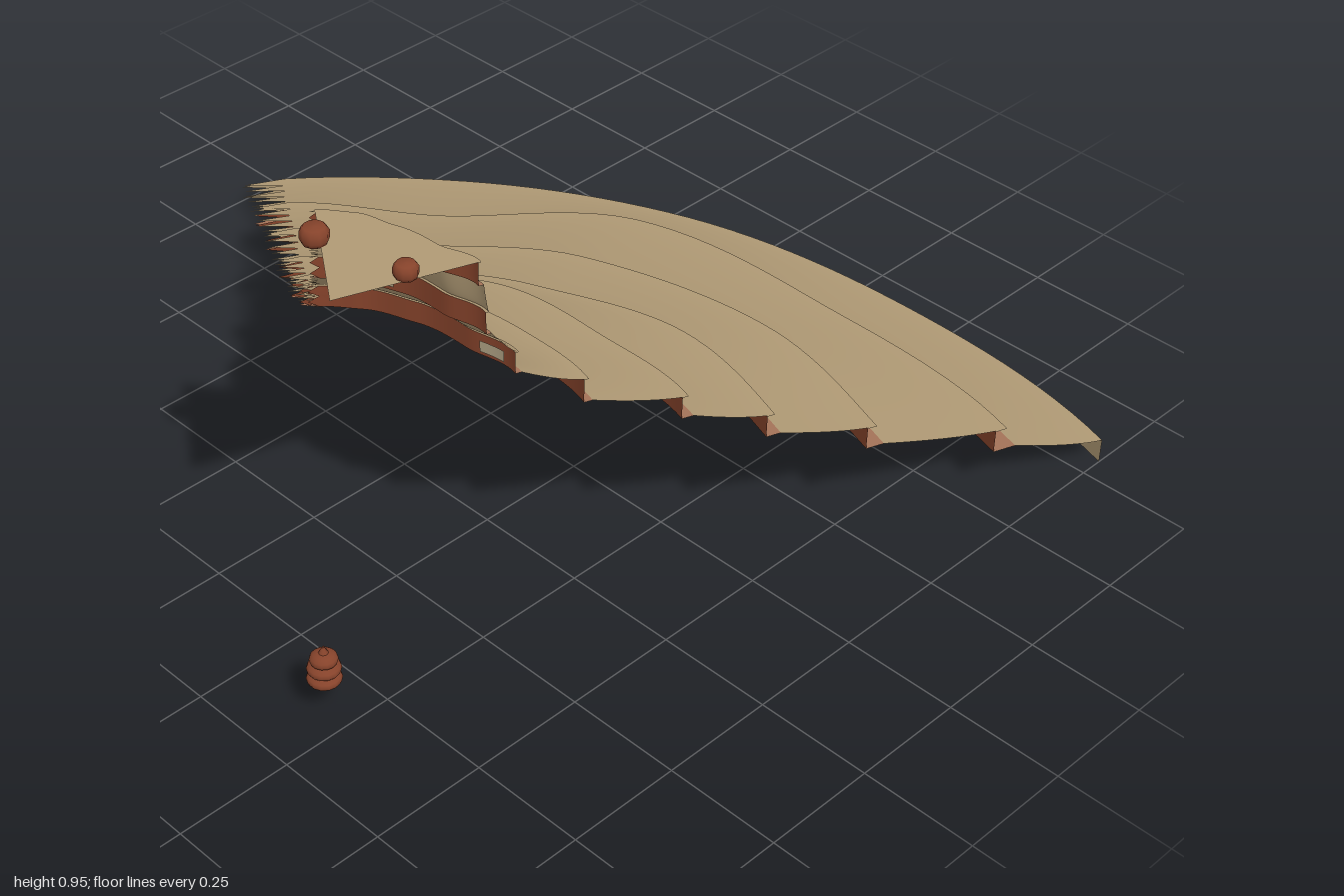
import * as THREE from 'three';

const mat = (name, color) => {
  const m = new THREE.MeshStandardMaterial({ color, side: THREE.DoubleSide });
  m.name = name;
  return m;
};

// Apex of the wedge and its angular limits (degrees from the back, + toward +x)
const AX = 0.435, AZ = 0.80, RIGHT = 19.4, LEFT = -53.3, TOOTH = 3.4;
const KNOTS = [19.4, 0, -22, -40, -55];

// Outer radius of each tier at the knot angles, with its wall's bottom and top height
const TIERS = [
  { r: [1.70, 1.68, 1.70, 1.70, 1.71], y0: 0, y1: 0.057 },
  { r: [1.48, 1.455, 1.515, 1.41, 1.47], y0: 0.115, y1: 0.167 },
  { r: [1.16, 1.19, 1.18, 1.13, 1.20], y0: 0.225, y1: 0.275 },
  { r: [0.92, 0.94, 0.90, 0.88, 0.935], y0: 0.33, y1: 0.38 },
  { r: [0.725, 0.705, 0.735, 0.71, 0.71], y0: 0.435, y1: 0.485 },
  { r: [0.51, 0.50, 0.51, 0.52, 0.53], y0: 0.54, y1: 0.592 },
  { r: [0.365, 0.335, 0.345, 0.36, 0.37], y0: 0.65, y1: 0.697 },
  { r: [0.305, 0.275, 0.285, 0.295, 0.31], y0: 0.755, y1: 0.803 },
  { r: [0.29, 0.255, 0.26, 0.28, 0.29], y0: 0.865, y1: 0.915 },
];

// Smoothly interpolated tier radius at an angle
function radius(tier, deg) {
  let k = 0;
  while (k < KNOTS.length - 2 && deg < KNOTS[k + 1]) k++;
  const t = THREE.MathUtils.clamp((KNOTS[k] - deg) / (KNOTS[k] - KNOTS[k + 1]), 0, 1);
  return THREE.MathUtils.lerp(tier.r[k], tier.r[k + 1], t * t * (3 - 2 * t));
}

// Sector surface; at(t, deg) returns [radius, height]; jagged gives the torn left edge
function strip(name, material, rows, at, from = LEFT, to = RIGHT, jagged = true, cols = 40) {
  const pos = [], idx = [];
  for (let i = 0; i <= rows; i++) {
    for (let j = 0; j <= cols; j++) {
      let deg = from + (to - from) * (j / cols);
      if (jagged && j === 0 && i % 2) deg -= TOOTH;
      const [r, y] = at(i / rows, deg);
      const a = THREE.MathUtils.degToRad(deg);
      pos.push(AX + r * Math.sin(a), y, AZ - r * Math.cos(a));
      if (i < rows && j < cols) {
        const p = i * (cols + 1) + j, q = p + cols + 1;
        idx.push(p, q, p + 1, p + 1, q, q + 1);
      }
    }
  }
  const g = new THREE.BufferGeometry();
  g.setAttribute('position', new THREE.Float32BufferAttribute(pos, 3));
  g.setIndex(idx);
  g.computeVertexNormals();
  const mesh = new THREE.Mesh(g, material);
  mesh.name = name;
  return mesh;
}

export function createModel() {
  const group = new THREE.Group();
  group.name = 'terracedHillWedge';
  const sand = mat('sand', 0xb09a75);
  const brick = mat('brick', 0x86432b);
  const clay = mat('clay ledge', 0xa37258);
  const dark = mat('dark brick', 0x4f2f20);
  const pale = mat('pale stone', 0xb0a284);

  const WALL = 0.965, LIP = 0.983;
  TIERS.forEach((tier, n) => {
    const wall = n ? WALL : 1;
    const height = (t) => THREE.MathUtils.lerp(tier.y0, tier.y1, t);
    group.add(strip(n ? 'terraceWall' : 'baseWall', n ? brick : sand, 4,
      (t, d) => [radius(tier, d) * wall, height(t)]));
    if (n) {
      // Flat ledge at the wall's foot and overhanging lip at its top
      group.add(strip('terraceLedge', clay, 2,
        (t, d) => [radius(tier, d) * THREE.MathUtils.lerp(1, WALL, t), tier.y0]));
      group.add(strip('terraceLip', sand, 1,
        (t, d) => [radius(tier, d) * THREE.MathUtils.lerp(LIP, WALL, t), tier.y1]));
    }
    // Concave slope up to the next tier, or the flat summit
    const next = TIERS[n + 1];
    if (next) {
      group.add(strip('slope', sand, 14, (t, d) => [
        THREE.MathUtils.lerp(radius(tier, d) * (n ? LIP : 1), radius(next, d), t),
        THREE.MathUtils.lerp(tier.y1, next.y0, Math.pow(t, 1.35)),
      ]));
    } else {
      group.add(strip('summit', sand, 6, (t, d) => [radius(tier, d) * LIP * (1 - t), tier.y1 + 0.001],
        LEFT - 1, RIGHT, false));
    }
  });

  // Thin plate on a terrace wall: tier, centre angle, width, heights, radial offset
  const plate = (name, material, n, deg, width, y0, y1, offset) => {
    const half = THREE.MathUtils.radToDeg(width / radius(TIERS[n], deg)) / 2;
    group.add(strip(name, material, 1,
      (t, d) => [radius(TIERS[n], d) * WALL + offset, THREE.MathUtils.lerp(y0, y1, t)],
      deg - half, deg + half, false, 4));
  };

  // Pale stones on the inner faces
  [[2, -23, 0.055], [3, 1, 0.055], [4, -38, 0.035], [5, -13.5, 0.035],
    [6, 10.5, 0.055], [7, -29, 0.045], [8, -3, 0.055]].forEach(([n, deg, w]) => {
    const mid = (TIERS[n].y0 + TIERS[n].y1) / 2;
    plate('paleStone', pale, n, deg, w, mid - 0.012, mid + 0.012, -0.006);
  });

  // Dark weathered patches on both faces
  [[1, -44, 0.11], [2, -20, 0.09], [3, 4, 0.07], [4, -41, 0.08]].forEach(([n, deg, w]) => {
    for (const o of [-0.003, 0.003]) {
      plate('darkPatch', dark, n, deg, w, TIERS[n].y0 + 0.004, TIERS[n].y1 - 0.004, o);
    }
  });

  // Lathe-turned rocks on the summit
  const rock = (x, z, r) => {
    const profile = [[0, 0], [0.85, 0], [1, 0.35], [1, 0.85], [0.75, 1.2], [0, 1.25]]
      .map(([a, b]) => new THREE.Vector2(a * r, b * r));
    const mesh = new THREE.Mesh(new THREE.LatheGeometry(profile, 10), brick);
    mesh.position.set(x, 0.915, z);
    mesh.name = 'summitRock';
    group.add(mesh);
  };
  rock(0.28, 0.70, 0.028);
  rock(0.47, 0.655, 0.024);

  // Small stacked cairn in front
  const cairn = new THREE.Group();
  cairn.name = 'cairn';
  [[0.035, 0.077], [0.034, 0.101], [0.028, 0.123]].forEach(([r, y]) => {
    const bead = new THREE.Mesh(new THREE.SphereGeometry(r, 14, 8), brick);
    bead.scale.y = 0.016 / r;
    bead.position.y = y;
    bead.name = 'cairnStone';
    cairn.add(bead);
  });
  const tip = new THREE.Mesh(new THREE.ConeGeometry(0.014, 0.025, 8), brick);
  tip.position.y = 0.143;
  tip.name = 'cairnTip';
  cairn.add(tip);
  cairn.position.set(AX, 0, 0.848);
  group.add(cairn);

  return group;
}
